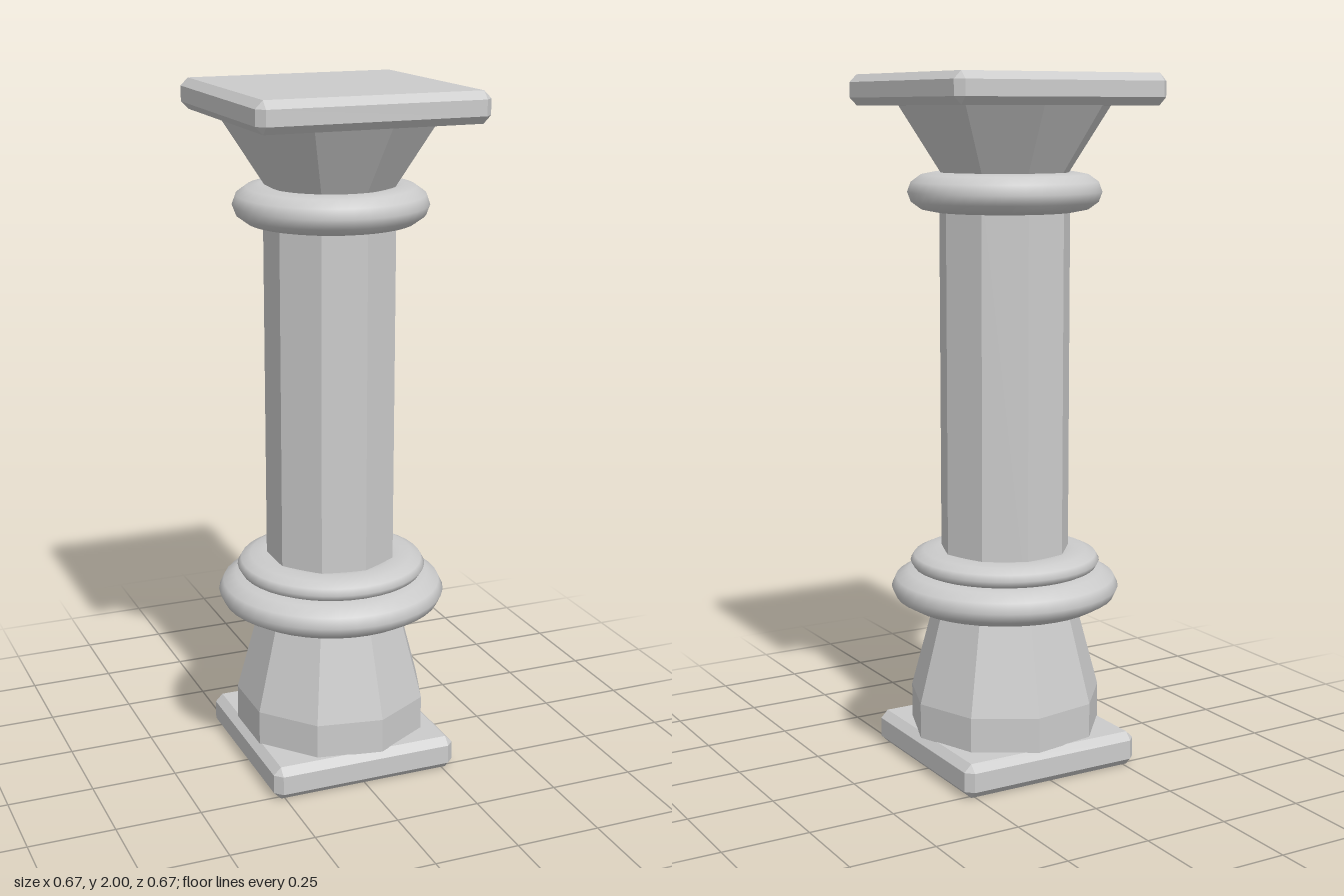
import * as THREE from 'three';
import { ConvexGeometry } from 'three/addons/geometries/ConvexGeometry.js';

const SIDES = 9;
const flatStone = new THREE.MeshStandardMaterial({ color: 0xcccccc, flatShading: true });
const smoothStone = new THREE.MeshStandardMaterial({ color: 0xcccccc });

export function createModel() {
  const model = new THREE.Group();
  model.name = 'column';

  const add = (name, geometry, material, y = 0) => {
    const mesh = new THREE.Mesh(geometry, material);
    mesh.name = name;
    mesh.position.y = y;
    model.add(mesh);
  };

  // Square slab with every edge and corner chamfered
  const slab = (name, half, bottom, top, bevel) => {
    const h = (top - bottom) / 2;
    const points = [];
    for (const x of [-1, 1]) for (const y of [-1, 1]) for (const z of [-1, 1]) {
      const a = half - bevel, b = h - bevel;
      points.push(
        new THREE.Vector3(x * half, y * b, z * a),
        new THREE.Vector3(x * a, y * h, z * a),
        new THREE.Vector3(x * a, y * b, z * half)
      );
    }
    add(name, new ConvexGeometry(points), flatStone, (top + bottom) / 2);
  };

  // Nine-sided section with one corner on +x; profile runs bottom to top as [radius, y]
  const faceted = (name, profile) => {
    const points = profile.map(([r, y]) => new THREE.Vector2(r, y));
    add(name, new THREE.LatheGeometry(points, SIDES, Math.PI / 2), flatStone);
  };

  // Rounded moulding, an elliptical ring around the column
  const ring = (name, outer, core, y, halfHeight) => {
    const tube = outer - core;
    const geometry = new THREE.TorusGeometry(core, tube, 12, 40);
    geometry.rotateX(Math.PI / 2);
    geometry.scale(1, halfHeight / tube, 1);
    add(name, geometry, smoothStone, y);
  };

  // Foot
  slab('basePlate', 0.283, 0, 0.1, 0.022);
  faceted('pedestal', [[0, 0.098], [0.283, 0.098], [0.283, 0.2], [0.205, 0.49], [0, 0.49]]);
  ring('lowerMoulding', 0.333, 0.235, 0.525, 0.056);
  ring('upperBaseMoulding', 0.277, 0.2, 0.602, 0.035);

  // Shaft
  faceted('shaft', [[0, 0.49], [0.19, 0.49], [0.19, 1.7], [0, 1.7]]);

  // Head
  ring('neckMoulding', 0.277, 0.2, 1.672, 0.056);
  faceted('capital', [[0, 1.7], [0.17, 1.7], [0.309, 1.915], [0, 1.915]]);
  slab('topPlate', 0.333, 1.912, 2, 0.022);

  return model;
}
